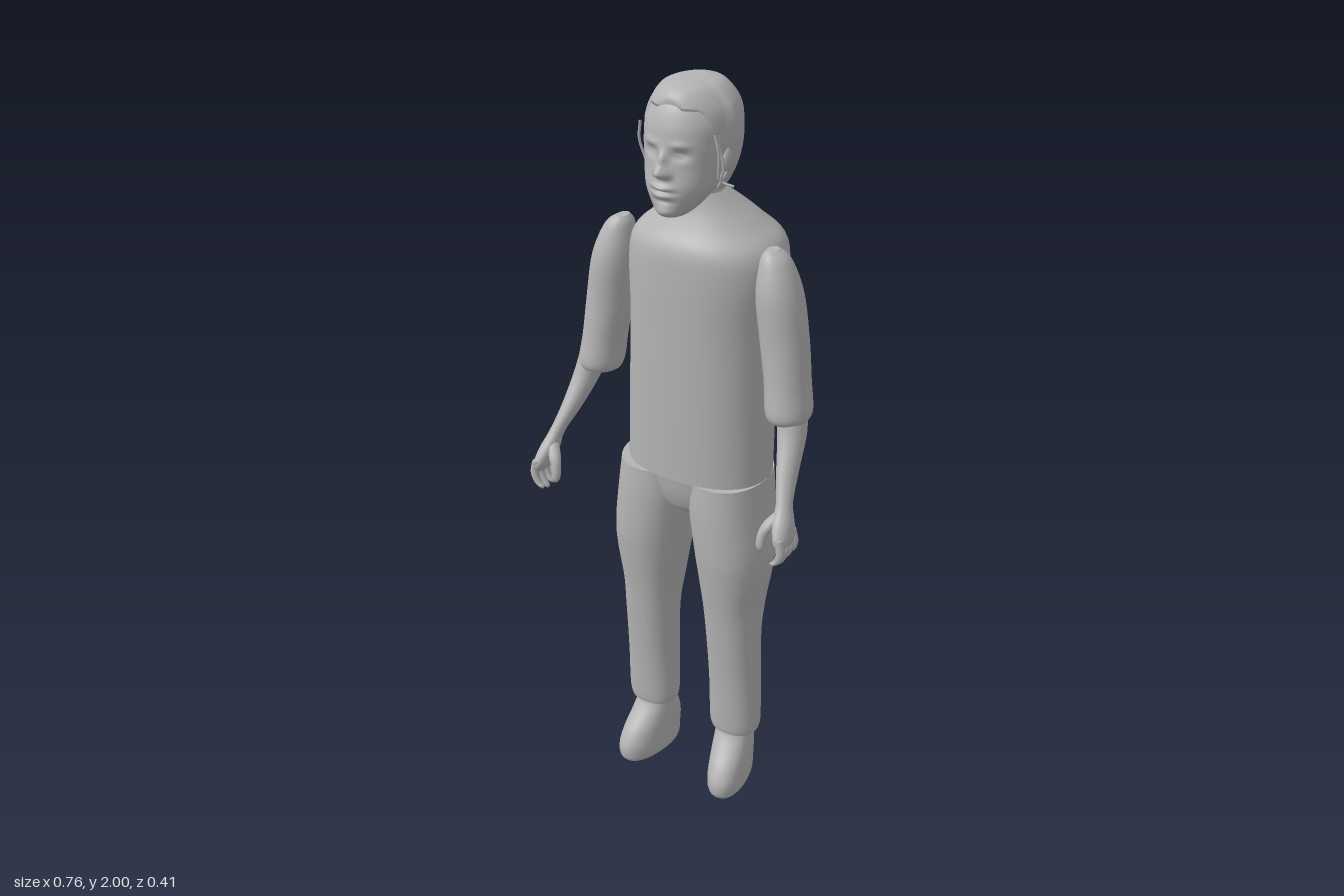
import * as THREE from 'three';

const grey = new THREE.MeshStandardMaterial({ color: 0xb4b4b4 });
grey.name = 'plain grey';

// Smooth loft through rings [y, centreX, centreZ, radiusX, radiusZ], listed top to bottom.
// power: 2 = ellipse, higher = boxier. shape(point) may move each vertex.
function loft(rings, { power = 2, sides = 32, steps = 5, shape } = {}) {
  const at = i => rings[Math.max(0, Math.min(rings.length - 1, i))];
  const rows = [];
  for (let i = 0; i < rings.length - 1; i++) {
    for (let k = 0; k < steps; k++) {
      const t = k / steps;
      rows.push(at(i).map((b, c) => {
        const a = at(i - 1)[c], d = at(i + 1)[c], e = at(i + 2)[c];
        return b + 0.5 * t * (d - a + t * (2 * a - 5 * b + 4 * d - e + t * (3 * (b - d) + e - a)));
      }));
    }
  }
  rows.push(rings[rings.length - 1]);

  const pos = [], index = [];
  const bend = v => Math.sign(v) * Math.pow(Math.abs(v), 2 / power);
  const addRow = ([y, x, z, rx, rz]) => {
    const start = pos.length / 3;
    for (let s = 0; s < sides; s++) {
      const a = (s / sides) * Math.PI * 2;
      const p = new THREE.Vector3(x + rx * bend(Math.cos(a)), y, z + rz * bend(Math.sin(a)));
      if (shape) shape(p);
      pos.push(p.x, p.y, p.z);
    }
    return start;
  };
  const starts = rows.map(addRow);
  for (let r = 0; r < starts.length - 1; r++) {
    for (let s = 0; s < sides; s++) {
      const n = (s + 1) % sides, u = starts[r], d = starts[r + 1];
      index.push(u + s, u + n, d + s, u + n, d + n, d + s);
    }
  }
  // separate end caps keep the hems crisp
  for (const top of [true, false]) {
    const row = top ? rows[0] : rows[rows.length - 1];
    const start = addRow(row), centre = pos.length / 3;
    const c = new THREE.Vector3(row[1], row[0], row[2]);
    if (shape) shape(c);
    pos.push(c.x, c.y, c.z);
    for (let s = 0; s < sides; s++) {
      const n = (s + 1) % sides;
      index.push(centre, start + (top ? n : s), start + (top ? s : n));
    }
  }
  const g = new THREE.BufferGeometry();
  g.setAttribute('position', new THREE.Float32BufferAttribute(pos, 3));
  g.setIndex(index);
  g.computeVertexNormals();
  return g;
}

export function createModel() {
  const model = new THREE.Group();
  model.name = 'standingFigure';
  const add = (name, geometry, parent = model) => {
    const m = new THREE.Mesh(geometry, grey);
    m.name = name;
    parent.add(m);
    return m;
  };
  const mirror = (rings, s, shift = 0) => rings.map(([y, x, z, a, b]) => [y, s * x + shift, z, a, b]);

  // Shirt body
  add('shirt', loft([
    [1.735, 0.01, -0.01, 0.055, 0.06], [1.695, 0.018, -0.03, 0.09, 0.09],
    [1.655, 0.016, -0.04, 0.14, 0.12], [1.61, 0.018, -0.045, 0.187, 0.152],
    [1.54, 0.018, -0.043, 0.2, 0.155], [1.4, 0.012, -0.037, 0.19, 0.148],
    [1.2, 0.008, -0.032, 0.192, 0.141], [0.985, 0.005, -0.028, 0.196, 0.133],
  ], { power: 2.3, sides: 48 }));

  // Trousers
  add('seat', loft([
    [0.985, 0, -0.025, 0.19, 0.125], [0.93, 0, -0.025, 0.17, 0.115],
    [0.88, 0, -0.02, 0.1, 0.09], [0.85, 0, -0.02, 0.03, 0.05],
  ]));
  for (const s of [1, -1]) {
    const side = s > 0 ? 'left' : 'right';
    add(side + 'TrouserLeg', loft(mirror([
      [0.985, 0.102, -0.022, 0.1, 0.126], [0.9, 0.108, -0.018, 0.104, 0.126],
      [0.78, 0.122, -0.013, 0.102, 0.119], [0.7, 0.126, -0.008, 0.094, 0.106],
      [0.6, 0.126, -0.005, 0.08, 0.09], [0.5, 0.129, 0.001, 0.073, 0.074],
      [0.35, 0.132, -0.005, 0.071, 0.066], [0.21, 0.133, -0.008, 0.072, 0.06],
      [0.175, 0.133, -0.008, 0.066, 0.055],
    ], s), { power: 2.2 }));

    // Shoes, toes turned out
    const shoe = add(side + 'Shoe', loft([
      [0.2, 0, -0.01, 0.044, 0.045], [0.165, 0, -0.01, 0.05, 0.055],
      [0.13, 0, -0.005, 0.053, 0.077], [0.09, 0, 0.008, 0.054, 0.1],
      [0.05, 0, 0.019, 0.055, 0.109], [0.015, 0, 0.02, 0.054, 0.107],
      [0, 0, 0.02, 0.047, 0.098],
    ], { power: 2.2 }));
    shoe.position.x = s * 0.132;
    shoe.rotation.y = s * 0.2;

    // Sleeve
    add(side + 'Sleeve', loft(mirror([
      [1.625, 0.217, 0, 0.014, 0.022], [1.6, 0.226, 0, 0.036, 0.043],
      [1.52, 0.24, 0.002, 0.056, 0.063], [1.4, 0.258, 0.003, 0.059, 0.063],
      [1.3, 0.272, 0.008, 0.056, 0.064], [1.23, 0.281, 0.014, 0.057, 0.066],
      [1.207, 0.281, 0.016, 0.05, 0.056],
    ], s, s > 0 ? 0 : 0.014)));

    // Forearm and palm
    add(side + 'Forearm', loft(mirror([
      [1.26, 0.285, 0.01, 0.036, 0.045], [1.18, 0.302, 0.032, 0.034, 0.045],
      [1.1, 0.32, 0.083, 0.025, 0.037], [1.04, 0.338, 0.128, 0.019, 0.027],
      [1.0, 0.348, 0.15, 0.023, 0.037], [0.965, 0.357, 0.16, 0.021, 0.044],
      [0.945, 0.36, 0.161, 0.014, 0.036],
    ], s), { sides: 24 }));

    // Fingers and thumb
    const hand = new THREE.Group();
    hand.name = side + 'Fingers';
    model.add(hand);
    for (let i = 0; i < 4; i++) {
      const z = 0.128 + i * 0.022, tip = 0.888 + [0.016, 0.004, 0, 0.008][i];
      add('finger', loft(mirror([
        [0.975, 0.36, z, 0.011, 0.011], [0.94, 0.367, z, 0.012, 0.011],
        [0.915, 0.36, z, 0.011, 0.01], [tip + 0.008, 0.349, z, 0.01, 0.009],
        [tip, 0.345, z, 0.003, 0.003],
      ], s), { sides: 12, steps: 3 }), hand);
    }
    add('thumb', loft(mirror([
      [1.025, 0.338, 0.145, 0.01, 0.014], [0.995, 0.32, 0.168, 0.016, 0.016],
      [0.965, 0.308, 0.18, 0.013, 0.013], [0.935, 0.306, 0.185, 0.011, 0.011],
      [0.922, 0.307, 0.186, 0.003, 0.003],
    ], s), { sides: 12, steps: 3 }), hand);

    // Ear
    const ear = add(side + 'Ear', new THREE.SphereGeometry(1, 16, 12));
    ear.scale.set(0.012, 0.034, 0.02);
    ear.position.set(s * 0.099, 1.83, 0.012);
    ear.rotation.x = -0.15;
  }

  // Neck
  add('neck', loft([
    [1.85, 0, -0.015, 0.07, 0.08], [1.77, 0, -0.015, 0.067, 0.075],
    [1.73, 0.002, -0.015, 0.066, 0.072], [1.68, 0.005, -0.015, 0.08, 0.08],
  ]));

  // Face: bumps and hollows [x, y, depth, widthX, widthY] pushed along z
  const features = [
    [0, 1.815, 0.034, 0.014, 0.013], [0, 1.842, 0.018, 0.009, 0.018],
    [0.014, 1.808, 0.012, 0.008, 0.008], [-0.014, 1.808, 0.012, 0.008, 0.008],
    [0.038, 1.852, -0.013, 0.018, 0.011], [-0.038, 1.852, -0.013, 0.018, 0.011],
    [0.036, 1.851, 0.006, 0.01, 0.005], [-0.036, 1.851, 0.006, 0.01, 0.005],
    [0.038, 1.876, 0.005, 0.022, 0.007], [-0.038, 1.876, 0.005, 0.022, 0.007],
    [0, 1.776, 0.015, 0.022, 0.007], [0, 1.767, -0.008, 0.026, 0.004],
    [0, 1.758, 0.013, 0.02, 0.006], [0, 1.742, -0.006, 0.022, 0.006],
    [0, 1.716, 0.006, 0.02, 0.012],
  ];
  add('face', loft([
    [1.993, 0, 0.015, 0.02, 0.025], [1.965, 0, 0.015, 0.068, 0.08],
    [1.92, 0, 0.015, 0.096, 0.105], [1.87, 0, 0.018, 0.1, 0.11],
    [1.82, 0, 0.025, 0.095, 0.105], [1.77, 0, 0.042, 0.084, 0.096],
    [1.73, 0, 0.064, 0.061, 0.07], [1.705, 0, 0.082, 0.036, 0.046],
    [1.694, 0, 0.088, 0.01, 0.015],
  ], {
    sides: 96, steps: 10, power: 2.1,
    shape: p => {
      if (p.z < 0.05) return;
      let push = 0;
      for (const [x, y, d, w, h] of features) {
        push += d * Math.exp(-(((p.x - x) / w) ** 2) - ((p.y - y) / h) ** 2);
      }
      p.z += push;
    },
  }));

  // Hair: rounded cap cut back to a hairline, stepping down past the temples
  const hairline = y => (y > 1.95 ? 0.1 : y > 1.9 ? 0.075 : y > 1.83 ? 0.05 : 0.0);
  add('hair', loft([
    [2, 0, 0.0, 0.03, 0.045], [1.987, 0, 0.0, 0.07, 0.088],
    [1.945, 0, -0.003, 0.106, 0.114], [1.89, -0.003, -0.003, 0.119, 0.119],
    [1.83, -0.003, -0.006, 0.113, 0.112], [1.775, 0, -0.018, 0.088, 0.085],
    [1.735, 0, -0.022, 0.064, 0.062],
  ], {
    sides: 64, steps: 8,
    shape: p => {
      p.z = Math.min(p.z, hairline(p.y));
      if (p.z > 0.01) p.x *= 0.93;
    },
  }));

  // Loose strands beside the face
  const strands = [
    [[0.1, 1.88, 0.06], [0.112, 1.82, 0.05], [0.1, 1.78, 0.04], [0.128, 1.77, 0.03]],
    [[0.1, 1.9, 0.07], [0.108, 1.85, 0.065], [0.098, 1.79, 0.05]],
    [[-0.1, 1.9, 0.07], [-0.11, 1.85, 0.06], [-0.1, 1.8, 0.05]],
    [[-0.085, 1.74, 0.01], [-0.078, 1.77, 0.03], [-0.095, 1.81, 0.035]],
  ];
  for (const points of strands) {
    const curve = new THREE.CatmullRomCurve3(points.map(p => new THREE.Vector3(...p)));
    add('hairStrand', new THREE.TubeGeometry(curve, 16, 0.0035, 6));
  }
  return model;
}
